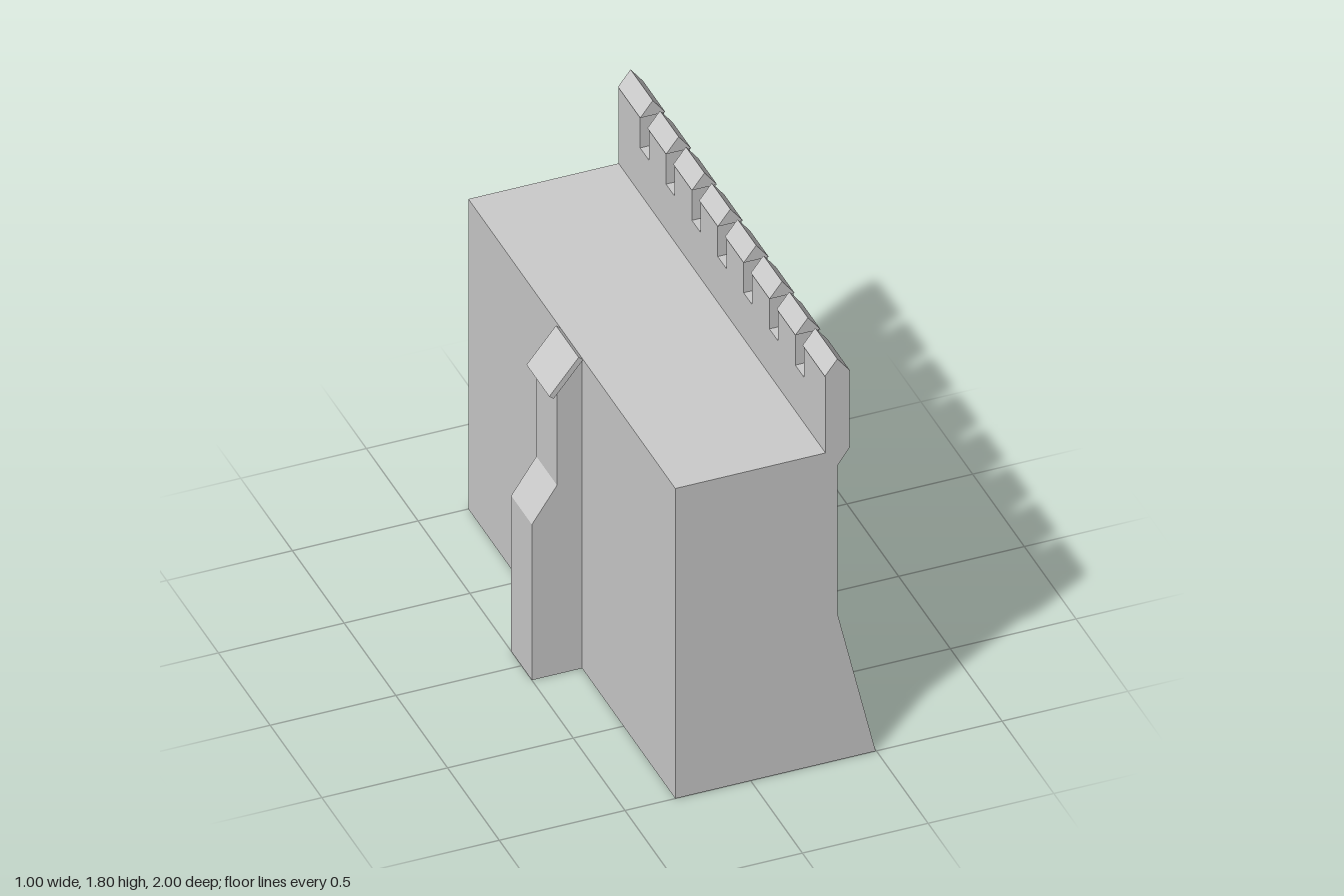
import * as THREE from 'three';

const mat = new THREE.MeshStandardMaterial({ color: 0xcccccc, flatShading: true });
const shell = new THREE.MeshStandardMaterial({ color: 0xcccccc, flatShading: true, side: THREE.DoubleSide });

const shapeOf = pts => new THREE.Shape(pts.map(p => new THREE.Vector2(...p)));

function add(parent, name, geometry, material = mat) {
  const mesh = new THREE.Mesh(geometry, material);
  mesh.name = name;
  parent.add(mesh);
  return mesh;
}

// Sweeps an xy profile between two z positions, leaving the ends open
function ribbon(pts, z0, z1) {
  const v = [];
  for (let i = 0; i < pts.length - 1; i++) {
    const a = pts[i], b = pts[i + 1];
    v.push(...a, z0, ...a, z1, ...b, z1, ...a, z0, ...b, z1, ...b, z0);
  }
  const g = new THREE.BufferGeometry();
  g.setAttribute('position', new THREE.Float32BufferAttribute(v, 3));
  g.computeVertexNormals();
  return g;
}

// Solid prism with an xy profile running from z0 to z1
function prism(pts, z0, z1) {
  return new THREE.ExtrudeGeometry(shapeOf(pts), { depth: z1 - z0, bevelEnabled: false }).translate(0, 0, z0);
}

// Pair of flat end walls at z = +half and z = -half
function ends(parent, name, pts, half) {
  for (const s of [1, -1]) {
    const g = new THREE.ShapeGeometry(shapeOf(pts));
    if (s < 0) g.index.array.reverse();
    g.translate(0, 0, s * half);
    g.deleteAttribute('normal');
    g.computeVertexNormals();
    add(parent, name, g, shell);
  }
}

export function createModel() {
  const model = new THREE.Group();
  model.name = 'castleWall';

  // Hollow wall body, open underneath, with a battered foot
  const body = new THREE.Group();
  body.name = 'wallBody';
  model.add(body);
  const outer = [[-0.3, 1.395], [0.345, 1.395], [0.345, 0.66], [0.497, 0]];
  add(body, 'wallTopAndFace', ribbon(outer, -1, 1), shell);
  ends(body, 'wallEnd', [[-0.3, 0], ...outer], 1);
  // The inner side is open where the buttress joins it
  const innerSide = [[-0.3, 0], [-0.3, 1.395]];
  add(body, 'innerSide', ribbon(innerSide, -1, -0.1), shell);
  add(body, 'innerSide', ribbon(innerSide, 0.1, 1), shell);

  // Stepped hollow buttress with a sloping cap slab
  const buttress = new THREE.Group();
  buttress.name = 'buttress';
  model.add(buttress);
  const steps = [[-0.5, 0], [-0.5, 0.7], [-0.4, 0.85], [-0.4, 1.27], [-0.3, 1.395]];
  add(buttress, 'buttressFace', ribbon(steps, -0.1, 0.1), shell);
  ends(buttress, 'buttressSide', [[-0.3, 0], ...steps], 0.1);
  add(buttress, 'buttressCap',
    prism([[-0.3, 1.395], [-0.318, 1.41], [-0.435, 1.265], [-0.418, 1.25]], -0.11, 0.11));

  // Sloping corbel course, cut by small arches
  const y0 = 1.325, y1 = 1.397;
  const corbel = new THREE.Shape();
  corbel.moveTo(-1, y0);
  for (let i = 0; i < 8; i++) {
    const c = -0.875 + i * 0.25;
    corbel.lineTo(c - 0.065, y0);
    corbel.absellipse(c, y0, 0.065, 0.054, Math.PI, 0, true);
  }
  corbel.lineTo(1, y0).lineTo(1, y1).lineTo(-1, y1);
  const course = new THREE.ExtrudeGeometry(corbel, { depth: 1, bevelEnabled: false, curveSegments: 12 });
  course.rotateY(Math.PI / 2);
  const p = course.attributes.position;
  for (let i = 0; i < p.count; i++) {
    p.setX(i, 0.345 + p.getX(i) * 0.05 * (p.getY(i) - y0) / (y1 - y0));
  }
  course.computeVertexNormals();
  add(model, 'corbelCourse', course);

  // Parapet with eight merlons and pitched copings
  const parapet = new THREE.Group();
  parapet.name = 'parapet';
  model.add(parapet);
  add(parapet, 'parapetWall', new THREE.BoxGeometry(0.095, 0.205, 2).translate(0.345, 1.4975, 0));
  for (let i = 0; i < 8; i++) {
    const z0 = -1 + i * 0.25, z1 = z0 + 0.25;
    const lo = g => (i === 0 ? -1 : z0 + g);
    const hi = g => (i === 7 ? 1 : z1 - g);
    add(parapet, 'merlon', prism([[0.2975, 1.6], [0.3925, 1.6], [0.3925, 1.74], [0.2975, 1.74]], lo(0.042), hi(0.042)));
    add(parapet, 'coping', prism([[0.295, 1.74], [0.395, 1.74], [0.345, 1.805]], lo(0.035), hi(0.035)));
  }
  return model;
}
